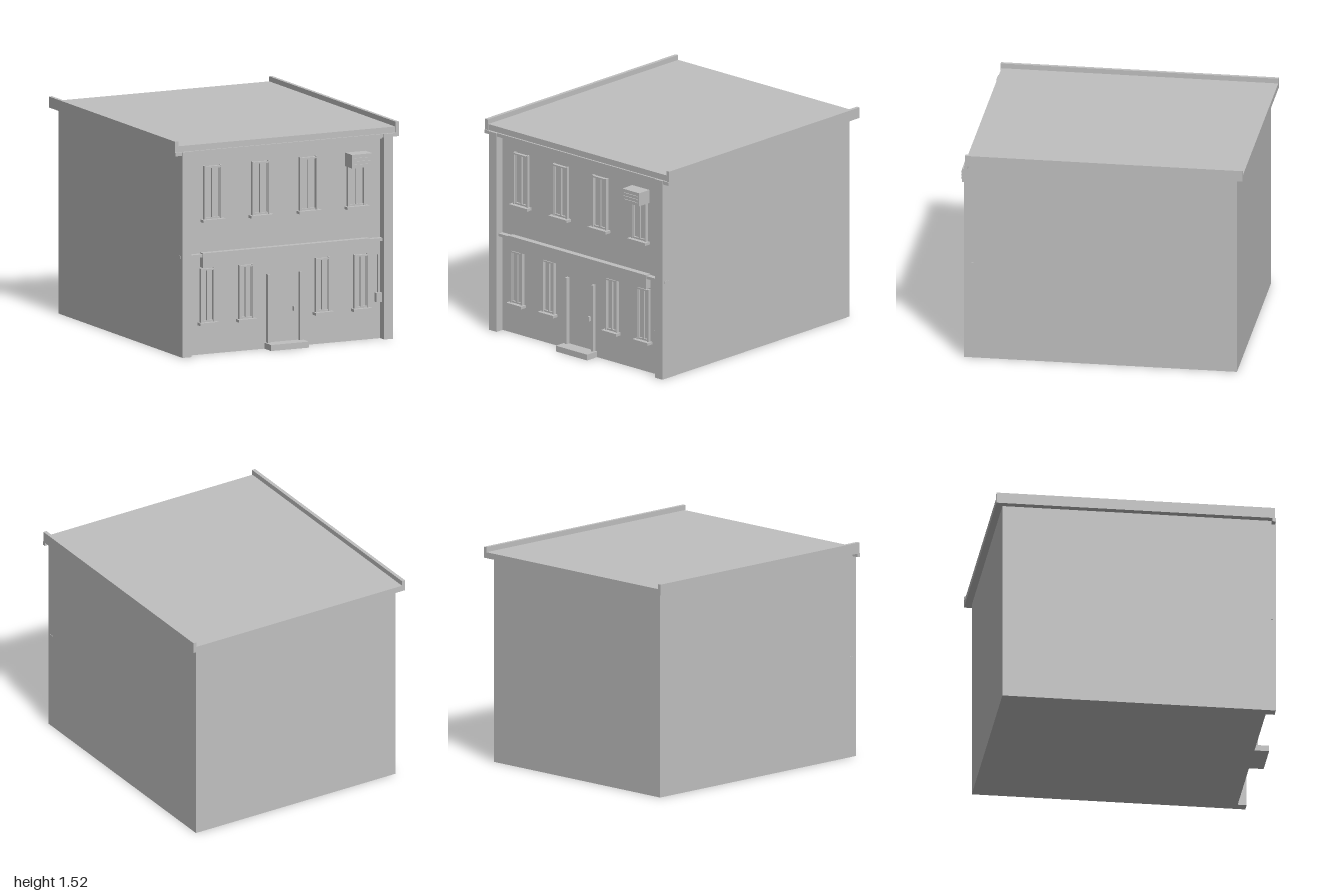
import * as THREE from 'three';

export function createModel() {
  const model = new THREE.Group();
  model.name = 'townBuilding';
  const grey = new THREE.MeshStandardMaterial({ color: 0xc0c0c0 });
  grey.name = 'plaster grey';

  const WALL = 0.89; // z of the recessed front wall

  // Box given by its limits on each axis
  function box(name, x0, x1, y0, y1, z0, z1, parent = model) {
    const mesh = new THREE.Mesh(new THREE.BoxGeometry(x1 - x0, y1 - y0, z1 - z0), grey);
    mesh.position.set((x0 + x1) / 2, (y0 + y1) / 2, (z0 + z1) / 2);
    mesh.name = name;
    parent.add(mesh);
    return mesh;
  }

  // Main block
  box('body', -0.815, 0.815, 0, 1.445, -0.953, WALL);

  // Roof slab with raised side rims, and a cornice under its front edge
  box('roofSlab', -0.84, 0.84, 1.443, 1.485, -1, 0.932);
  for (const s of [-1, 1]) {
    const inner = s * 0.84, outer = s * 0.865;
    box('roofRim', Math.min(inner, outer), Math.max(inner, outer), 1.443, 1.52, -1, 0.938);
  }
  box('cornice', -0.865, 0.865, 1.418, 1.443, 0.92, 0.945);
  box('corniceBacking', -0.815, 0.815, 1.406, 1.443, WALL, 0.92);

  // Corner pilasters and the band between floors
  box('leftPilaster', 0.745, 0.815, 0, 1.443, WALL, 0.952);
  box('rightPilaster', -0.815, -0.745, 0, 1.443, WALL, 0.952);
  box('floorBand', -0.818, 0.818, 0.69, 0.71, WALL - 0.005, 0.93);
  box('signBoard', -0.648, 0.644, 0.615, 0.717, WALL, 0.935);

  // Double-sash window: framed openings with recessed panes, plus a sill
  function makeWindow(cx, y0, y1, half, sillHalf) {
    const g = new THREE.Group();
    g.name = 'window';
    const frame = new THREE.Shape();
    frame.moveTo(-half, y0);
    frame.lineTo(half, y0);
    frame.lineTo(half, y1);
    frame.lineTo(-half, y1);
    frame.closePath();
    const edge = 0.015, mid = 0.006;
    for (const s of [-1, 1]) {
      const a = s * mid, b = s * (half - edge);
      const hole = new THREE.Path();
      hole.moveTo(a, y0 + 0.012);
      hole.lineTo(a, y1 - 0.014);
      hole.lineTo(b, y1 - 0.014);
      hole.lineTo(b, y0 + 0.012);
      hole.closePath();
      frame.holes.push(hole);
    }
    const sash = new THREE.Mesh(
      new THREE.ExtrudeGeometry(frame, { depth: 0.016, bevelEnabled: false }), grey);
    sash.position.z = WALL;
    sash.name = 'windowFrame';
    g.add(sash);
    for (const s of [-1, 1]) {
      const x = s * (half - 0.006);
      box('windowJamb', x - 0.006, x + 0.006, y0, y1 + 0.004, WALL, WALL + 0.024, g);
    }
    box('windowHead', -half + 0.012, half - 0.012, y1 - 0.01, y1, WALL, WALL + 0.024, g);
    box('windowPanes', -half + 0.01, half - 0.01, y0 + 0.01, y1 - 0.01, WALL, WALL + 0.003, g);
    box('windowSill', -sillHalf, sillHalf, y0 - 0.019, y0, WALL, 0.938, g);
    g.position.x = cx;
    model.add(g);
  }
  for (const x of [-0.558, -0.187, 0.183, 0.554]) makeWindow(x, 0.949, 1.32, 0.068, 0.086);
  for (const x of [-0.597, -0.299, 0.294, 0.591]) makeWindow(x, 0.227, 0.602, 0.056, 0.071);

  // Entrance: step, two posts and a handle
  box('doorStep', -0.15, 0.144, 0, 0.042, WALL, 0.992);
  box('doorPost', -0.136, -0.118, 0.042, 0.523, WALL, 0.917);
  box('doorPost', 0.112, 0.13, 0.042, 0.523, WALL, 0.917);
  box('doorHandle', 0.068, 0.085, 0.25, 0.282, WALL, 0.908);

  // Air conditioner with front slats
  box('airConditioner', 0.475, 0.634, 1.23, 1.325, WALL, 0.993);
  for (const y of [1.251, 1.274, 1.297]) {
    box('airConditionerSlat', 0.493, 0.618, y - 0.004, y + 0.004, 0.993, 1);
  }

  // Meter box and its conduit
  box('meterBox', 0.702, 0.745, 0.26, 0.325, WALL, 0.918);
  box('conduit', 0.722, 0.73, 0.325, 0.592, WALL, 0.9);

  return model;
}
